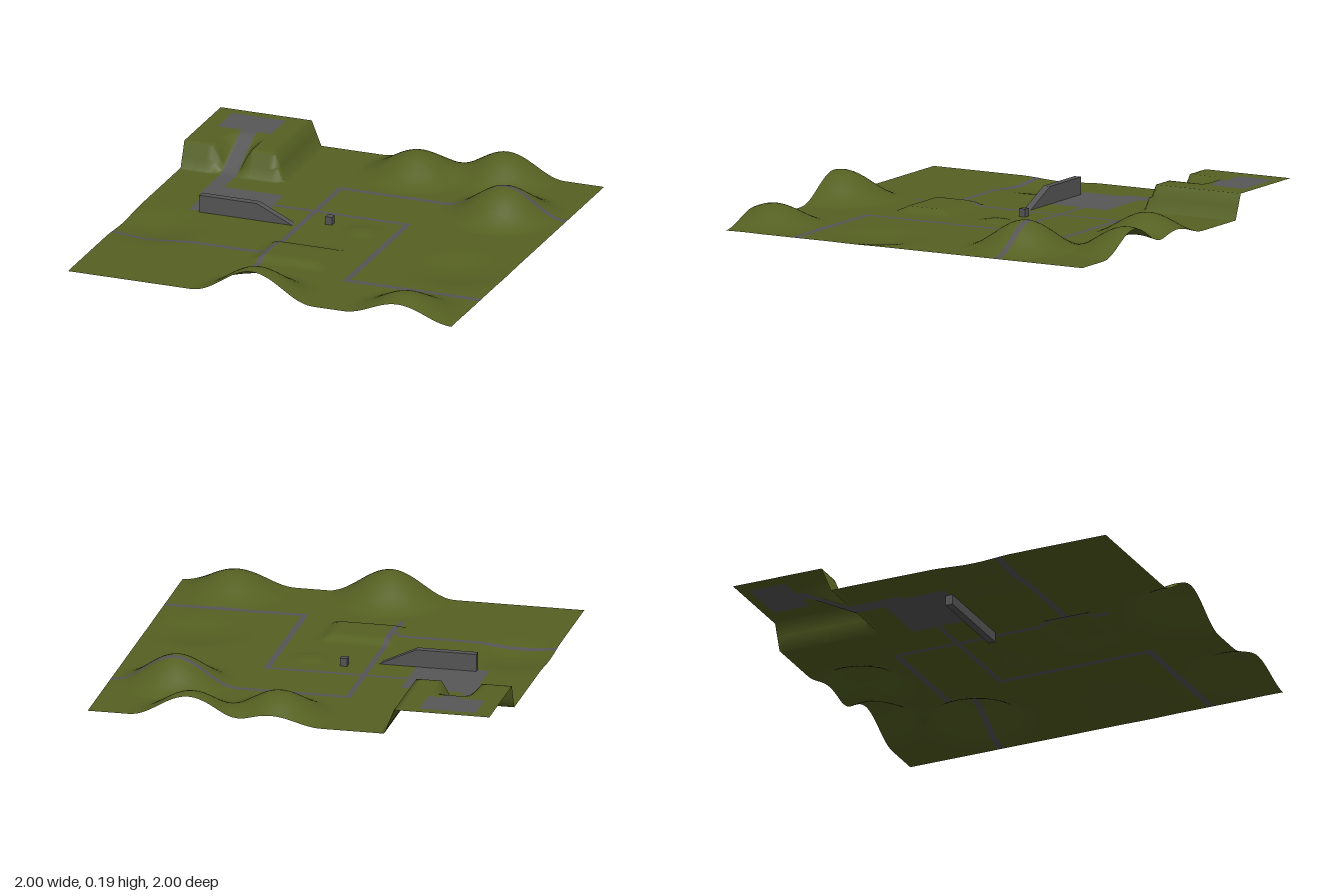
import * as THREE from 'three';

const GROUND = 0.05;
const clamp01 = (t) => Math.min(1, Math.max(0, t));

// Round hills and hollows: x, z, radius, height
const mounds = [
  [-0.04, 0.96, 0.32, 0.14], [0.72, 0.9, 0.3, 0.1],
  [0.09, -0.83, 0.3, 0.115], [0.5, -0.95, 0.3, 0.12], [0.68, -0.49, 0.31, 0.14],
  [-0.82, 0.28, 0.29, -0.033], [0.75, 0.28, 0.29, -0.03],
  [0.13, -0.01, 0.12, 0.016],
];

// Paved areas and roads: x0, x1, z0, z1
const paving = [
  [-0.92, -0.64, -0.95, -0.76], [-0.79, -0.71, -0.76, -0.2], [-0.76, -0.4, -0.32, 0.02],
];
const roads = [
  [-0.19, 1, -0.525, -0.495], [-0.195, -0.168, -0.52, 0.63], [-0.4, 0.315, -0.195, -0.17],
  [0.285, 0.315, -0.195, 0.63], [0.285, 1, 0.6, 0.633], [-1, -0.168, 0.405, 0.435],
];

// 1 inside the rectangle, falling to 0 across the border width
function slab(x, z, x0, x1, z0, z1, border) {
  const d = Math.max(x0 - x, x - x1, z0 - z, z - z1);
  return 1 - clamp01(d / border);
}

function heightAt(x, z) {
  let y = GROUND;
  for (const [mx, mz, r, h] of mounds) {
    const d = Math.hypot(x - mx, z - mz);
    if (d < r) y += h * 0.5 * (1 + Math.cos((Math.PI * d) / r));
  }
  // Low earth platform
  y += 0.025 * slab(x, z, -0.18, 0.1, 0.31, 0.5, 0.05);
  // Corner plateau with a ramp cut into its front
  const plateau = 0.125 * slab(x, z, -2, -0.525, -2, -0.525, 0.05);
  const ramp = 0.125 * (1 - clamp01((z + 0.72) / 0.24));
  const cut = 1 - clamp01((Math.abs(x + 0.75) - 0.045) / 0.05);
  return y + plateau + (Math.min(plateau, ramp) - plateau) * cut;
}

// Regular grid lines plus the exact edges of every painted area
function gridLines(axis) {
  const edges = [...paving, ...roads].flatMap((r) => [r[axis], r[axis + 1]]);
  const lines = [...edges];
  for (let i = 0; i <= 80; i++) {
    const v = -1 + i * 0.025;
    if (i === 0 || i === 80 || !edges.some((e) => Math.abs(e - v) < 0.004)) lines.push(v);
  }
  return [...new Set(lines.map((v) => +v.toFixed(4)))].sort((a, b) => a - b);
}

function terrainGeometry() {
  const xs = gridLines(0), zs = gridLines(2), n = xs.length;
  const positions = [];
  for (const z of zs) for (const x of xs) positions.push(x, heightAt(x, z), z);
  const sets = [[], [], []];
  const inside = (list, x, z) => list.some((r) => x > r[0] && x < r[1] && z > r[2] && z < r[3]);
  for (let j = 0; j < zs.length - 1; j++) {
    for (let i = 0; i < n - 1; i++) {
      const x = (xs[i] + xs[i + 1]) / 2, z = (zs[j] + zs[j + 1]) / 2;
      const kind = inside(paving, x, z) ? 1 : inside(roads, x, z) ? 2 : 0;
      const a = j * n + i, b = a + 1, c = a + n, d = c + 1;
      sets[kind].push(a, c, b, b, c, d);
    }
  }
  const geo = new THREE.BufferGeometry();
  geo.setAttribute('position', new THREE.Float32BufferAttribute(positions, 3));
  geo.setIndex(sets.flat());
  let start = 0;
  sets.forEach((s, k) => {
    geo.addGroup(start, s.length, k);
    start += s.length;
  });
  geo.computeVertexNormals();
  return geo;
}

export function createModel() {
  const material = (name, color, side = THREE.FrontSide) => {
    const m = new THREE.MeshStandardMaterial({ color, side });
    m.name = name;
    return m;
  };
  const grass = material('grass', 0x556022, THREE.DoubleSide);
  const pavement = material('pavement', 0x585757, THREE.DoubleSide);
  const road = material('road', 0x575458, THREE.DoubleSide);
  const concrete = material('concrete', 0x555555);

  const group = new THREE.Group();
  const add = (name, geo, mat) => {
    const mesh = new THREE.Mesh(geo, mat);
    mesh.name = name;
    group.add(mesh);
    return mesh;
  };

  add('terrain', terrainGeometry(), [grass, pavement, road]);

  // Wall with a sloping end
  const profile = new THREE.Shape([
    [-0.7, 0], [-0.215, 0], [-0.215, 0.05], [-0.4, 0.137], [-0.7, 0.137],
  ].map(([x, y]) => new THREE.Vector2(x, y)));
  const wall = add('wall', new THREE.ExtrudeGeometry(profile, { depth: 0.037, bevelEnabled: false }), concrete);
  wall.position.z = -0.002;

  // Small block standing on the ground
  add('block', new THREE.BoxGeometry(0.036, 0.04, 0.036), concrete).position.set(-0.055, 0.07, -0.057);

  return group;
}
